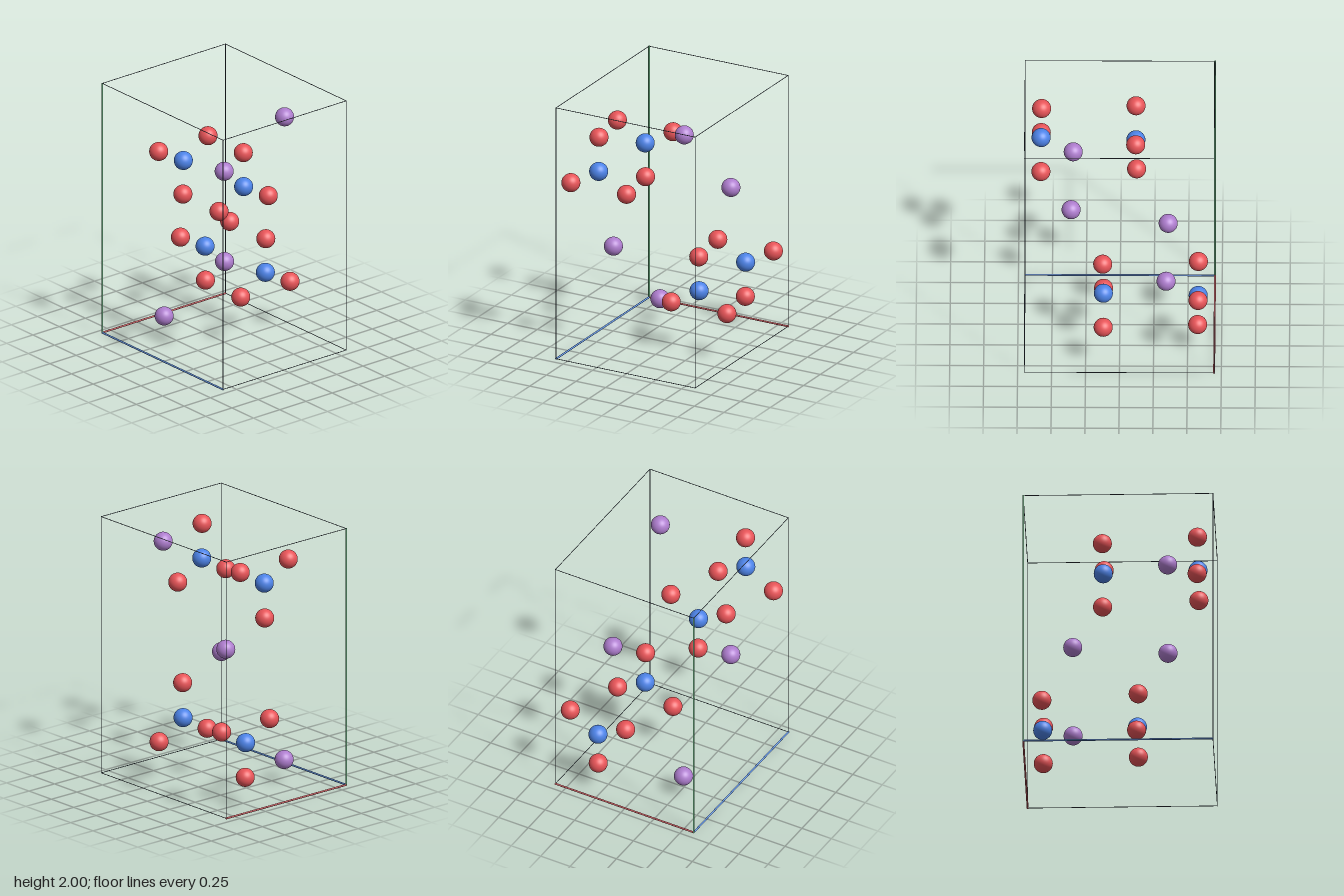
import * as THREE from 'three';

const mat = (name, color) => {
  const m = new THREE.MeshStandardMaterial({ color });
  m.name = name;
  return m;
};

export function createModel() {
  const red = mat('red atom', 0xea5559);
  const blue = mat('blue atom', 0x4f87ee);
  const purple = mat('purple atom', 0xae7dce);
  const slate = mat('slate edge', 0x4a5462);
  const axisRed = mat('red axis', 0xee7076);
  const axisGreen = mat('green axis', 0x74c08c);
  const axisBlue = mat('blue axis', 0x6a9cec);

  const model = new THREE.Group();
  model.name = 'crystalCell';
  const lo = new THREE.Vector3(-0.588, 0.007, -0.697);
  const hi = new THREE.Vector3(0.587, 1.9975, 0.7);
  const centre = new THREE.Vector3(0, 1.005, 0.002);

  // Cell frame: twelve edges, the three at the origin corner thicker and coloured
  const frame = new THREE.Group();
  frame.name = 'cellFrame';
  model.add(frame);
  const keys = ['x', 'y', 'z'];
  const axisMats = [axisRed, axisGreen, axisBlue];
  keys.forEach((key, i) => {
    const [u, v] = keys.filter((k) => k !== key);
    for (const uHigh of [false, true]) {
      for (const vHigh of [false, true]) {
        const isAxis = !uHigh && !vHigh;
        const r = isAxis ? 0.007 : 0.0025;
        const length = hi[key] - lo[key] + 0.004;
        const edge = new THREE.Mesh(new THREE.CylinderGeometry(r, r, length, 10), isAxis ? axisMats[i] : slate);
        edge.name = isAxis ? key + 'Axis' : 'cellEdge';
        edge.position[key] = (lo[key] + hi[key]) / 2;
        edge.position[u] = uHigh ? hi[u] : lo[u];
        edge.position[v] = vHigh ? hi[v] : lo[v];
        if (key === 'x') edge.rotation.z = Math.PI / 2;
        if (key === 'z') edge.rotation.x = Math.PI / 2;
        frame.add(edge);
      }
    }
  });

  // Atoms: each one has a twin inverted through the centre of the cell
  const ball = new THREE.SphereGeometry(0.07, 40, 28);
  const addPair = (name, material, x, y, z) => {
    const p = new THREE.Vector3(x, y, z);
    const twin = centre.clone().multiplyScalar(2).sub(p);
    for (const position of [p, twin]) {
      const atom = new THREE.Mesh(ball, material);
      atom.name = name;
      atom.position.copy(position);
      model.add(atom);
    }
  };

  const X = 0.294, S = 0.235;
  addPair('redAtom', red, -X, 1.78, 0.578);
  addPair('redAtom', red, -X, 1.222, -0.121);
  for (const s of [-S, S]) {
    addPair('redAtom', red, -X + s, 1.627, -0.116);
    addPair('redAtom', red, -X + s, 1.375, 0.582);
  }
  addPair('blueAtom', blue, -X, 1.51, 0.582);
  addPair('blueAtom', blue, -X, 1.492, -0.116);
  addPair('purpleAtom', purple, X, 1.832, 0.342);
  addPair('purpleAtom', purple, X, 1.17, -0.357);

  return model;
}
